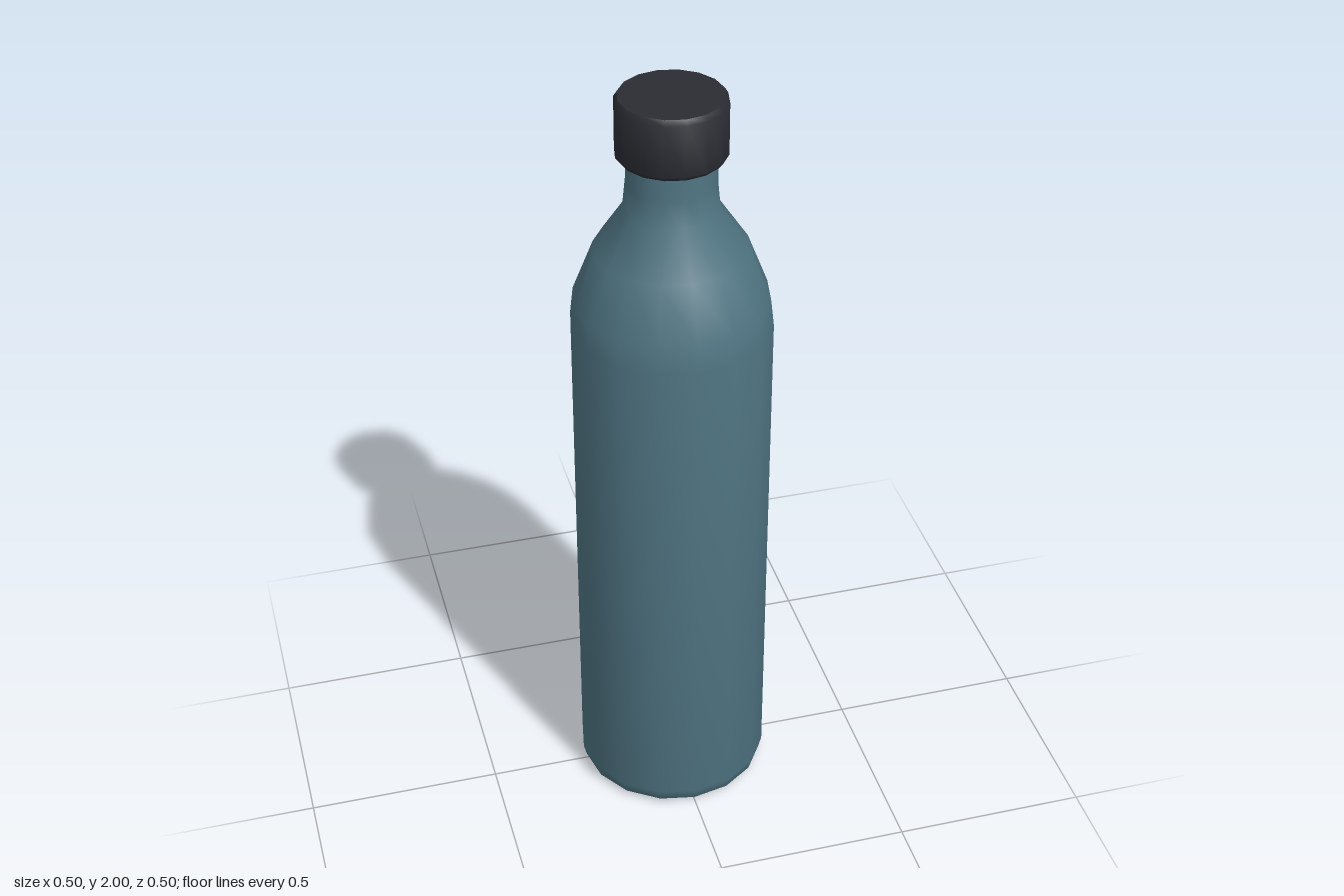
import * as THREE from 'three';
import { toCreasedNormals } from 'three/addons/utils/BufferGeometryUtils.js';

const SIDES = 16;

// Revolve a bottom-to-top [radius, height] profile, keeping steep edges sharp
function turned(name, profile, color, crease) {
  const points = profile.map(([r, y]) => new THREE.Vector2(r, y));
  const geometry = toCreasedNormals(new THREE.LatheGeometry(points, SIDES), crease);
  const mesh = new THREE.Mesh(geometry, new THREE.MeshStandardMaterial({ color }));
  mesh.name = name;
  return mesh;
}

export function createModel() {
  const group = new THREE.Group();
  group.name = 'bottle';

  // Body: flat base, straight wall, rounded shoulder and narrow neck
  group.add(turned('body', [
    [0, 0], [0.228, 0], [0.243, 0.015], [0.25, 0.045],
    [0.25, 1.395], [0.242, 1.465], [0.19, 1.6], [0.117, 1.71],
    [0.11, 1.78], [0.11, 1.86], [0, 1.86],
  ], 0x4f7482, 0.75));

  // Screw cap: closed disc with a small bevel at both rims
  group.add(turned('cap', [
    [0, 1.845], [0.127, 1.845], [0.135, 1.855],
    [0.135, 1.987], [0.127, 2], [0, 2],
  ], 0x2b2d33, 0.7));

  return group;
}
